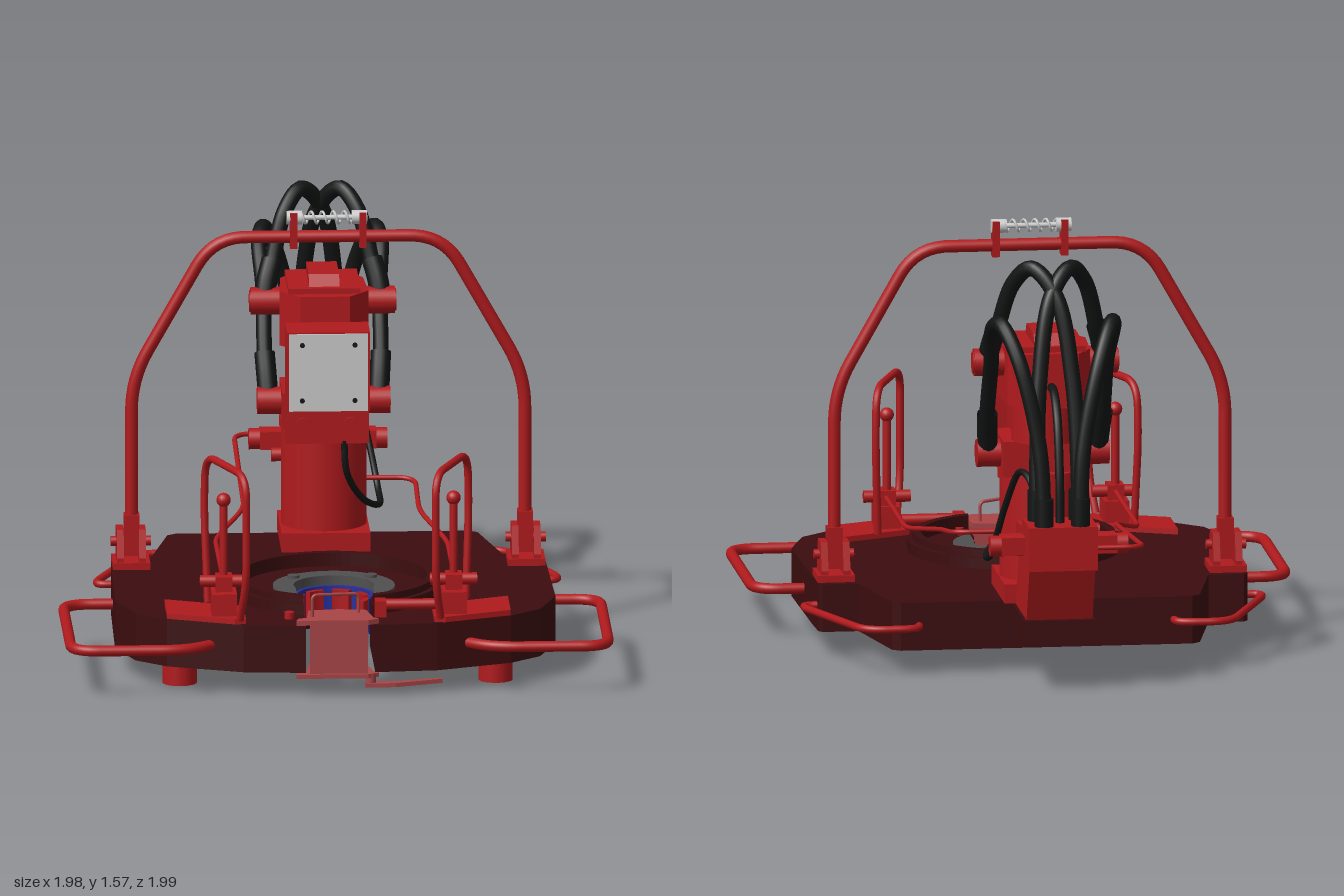
import * as THREE from 'three';

const V = (x, y, z) => new THREE.Vector3(x, y, z);
const mat = (color) => new THREE.MeshStandardMaterial({ color, side: THREE.DoubleSide });

export function createModel() {
  const root = new THREE.Group();
  const red = mat(0xb01a1d), dark = mat(0x3c0d0f), black = mat(0x131514), steel = mat(0x505050);
  const silver = mat(0xcccccc), blue = mat(0x26309a), rose = mat(0xa84546);

  const add = (name, geo, m = red, x = 0, y = 0, z = 0) => {
    const mesh = new THREE.Mesh(geo, m);
    mesh.name = name;
    mesh.position.set(x, y, z);
    root.add(mesh);
    return mesh;
  };
  // Box given by its limits on each axis
  const box = (name, x0, x1, y0, y1, z0, z1, m = red) =>
    add(name, new THREE.BoxGeometry(x1 - x0, y1 - y0, z1 - z0), m, (x0 + x1) / 2, (y0 + y1) / 2, (z0 + z1) / 2);
  const cyl = (name, r, y0, y1, x, z, m = red, r2 = r) =>
    add(name, new THREE.CylinderGeometry(r2, r, y1 - y0, 32), m, x, (y0 + y1) / 2, z);
  const rodX = (name, r, x0, x1, y, z, m = red) =>
    add(name, new THREE.CylinderGeometry(r, r, Math.abs(x1 - x0), 24).rotateZ(Math.PI / 2), m, (x0 + x1) / 2, y, z);
  const discZ = (name, r, x, y, z, m) =>
    add(name, new THREE.CylinderGeometry(r, r, 0.012, 16).rotateX(Math.PI / 2), m, x, y, z);
  // Flat slab from an outline in x and z
  const slab = (name, shape, y0, y1, m = red, z = 0) =>
    add(name, new THREE.ExtrudeGeometry(shape, { depth: y1 - y0, bevelEnabled: false, curveSegments: 40 })
      .rotateX(Math.PI / 2), m, 0, y1, z);
  const outline = (pts) => new THREE.Shape(pts.map(p => new THREE.Vector2(...p)));
  // Side profile in z and y, extruded across x
  const prism = (name, pts, x0, x1, m = red) =>
    add(name, new THREE.ExtrudeGeometry(outline(pts), { depth: x1 - x0, bevelEnabled: false })
      .rotateY(-Math.PI / 2), m, x1);
  // Bent bar: straight runs joined by rounded corners
  const bar = (name, pts, r, bend = 0.08, m = red) => {
    const p = pts.map(q => V(...q)), path = new THREE.CurvePath();
    let from = p[0];
    for (let i = 1; i < p.length - 1; i++) {
      const cut = (q) => p[i].clone().add(q.clone().sub(p[i]).setLength(Math.min(bend, p[i].distanceTo(q) * 0.48)));
      const a = cut(p[i - 1]), b = cut(p[i + 1]);
      path.add(new THREE.LineCurve3(from, a));
      path.add(new THREE.QuadraticBezierCurve3(a, p[i], b));
      from = b;
    }
    path.add(new THREE.LineCurve3(from, p[p.length - 1]));
    return add(name, new THREE.TubeGeometry(path, 110, r, 12), m);
  };
  const hose = (name, pts, r, m = black) =>
    add(name, new THREE.TubeGeometry(new THREE.CatmullRomCurve3(pts.map(q => V(...q))), 80, r, 12), m);
  // Ring with a slot open to the front
  const cRing = (R, r, w) => {
    const s = new THREE.Shape(), h = Math.PI / 2, a = Math.asin(w / R), b = Math.asin(Math.min(1, w / r));
    s.absarc(0, 0, R, h - a, h + a, true);
    s.absarc(0, 0, r, h + b, h - b, false);
    return s;
  };

  // Base plate with its pipe slot
  const zc = 0.42, w = 0.125;
  const half = [[w, 0.955], [0.35, 0.935], [0.62, 0.83], [0.73, 0.73], [0.795, 0.53], [0.785, 0],
    [0.78, -0.12], [0.765, -0.14], [0.635, -0.14], [0.56, -0.49], [0.53, -0.515]];
  const base = outline([...half, ...half.slice().reverse().map(([x, z]) => [-x, z])]);
  const b = Math.asin(w / 0.18);
  base.absarc(0, zc, 0.18, Math.PI / 2 + b, Math.PI / 2 - b, false);
  slab('basePlate', base, 0.085, 0.26, dark);
  box('rearPlate', -0.13, 0.13, 0.175, 0.26, -0.9, -0.5, dark);

  // Turntable rings and pipe jaws
  slab('outerRing', cRing(0.385, 0.335, w), 0.26, 0.3, dark, zc);
  slab('ringLip', cRing(0.365, 0.335, w), 0.3, 0.325, dark, zc);
  slab('turntableFloor', cRing(0.335, 0.2, w), 0.26, 0.275, dark, zc);
  slab('jawCarrier', cRing(0.22, 0.145, 0.14), 0.2, 0.285, steel, zc);
  slab('jawHousing', cRing(0.15, 0.13, 0.122), 0.12, 0.25, blue, zc);
  for (let i = 0; i < 5; i++) {
    const a = Math.PI * (0.96 + i * 0.27), s = new THREE.Shape();
    s.absarc(0, 0, 0.132, a, a + 0.55, false);
    s.absarc(0, 0, 0.11, a + 0.55, a, true);
    slab('jawPad', s, 0.13, 0.24, red, zc);
  }

  for (const s of [-1, 1]) {
    const m = (pts) => pts.map(([x, y, z]) => [x * s, y, z]);
    const span = (a, c) => s > 0 ? [a, c] : [-c, -a];
    cyl('foot', 0.062, 0, 0.09, 0.57 * s, 0.72);
    cyl('jawPin', 0.022, 0.28, 0.295, 0.14 * s, 0.3, steel);
    for (const z of [0.62, 0.68, 0.74]) cyl('plateBolt', 0.015, 0.26, 0.29, 0.165 * s, z);

    // Carrying handles around the plate
    bar('frontHandle', m([[0.7, 0.175, 0.22], [0.97, 0.175, 0.22], [0.97, 0.175, 0.96], [0.55, 0.175, 0.96], [0.42, 0.175, 0.84]]), 0.02, 0.1);
    bar('rearHandle', m([[0.74, 0.175, -0.09], [0.85, 0.175, -0.09], [0.665, 0.175, -0.57], [0.47, 0.175, -0.57], [0.46, 0.175, -0.49]]), 0.014, 0.08);

    // Pivot brackets for the lifting hoop
    for (const x of [0.66, 0.74]) {
      prism('hoopBracket', [[0.04, 0.26], [0.04, 0.3], [0.01, 0.4], [-0.07, 0.4], [-0.1, 0.3], [-0.1, 0.26]], ...span(x, x + 0.025));
    }
    box('bracketBase', ...span(0.645, 0.78), 0.26, 0.285, -0.11, 0.05);
    box('hoopFoot', ...span(0.682, 0.738), 0.3, 0.45, -0.06, 0);
    rodX('bracketPin', 0.018, 0.64 * s, 0.785 * s, 0.35, -0.03);

    // Control station: plate, valve, lever and guard
    slab('valvePlate', outline([[0.62, 0.6], [0.34, 0.72], [0.34, 0.92], [0.38, 0.925], [0.62, 0.825]].map(([x, z]) => [x * s, z])), 0.26, 0.28);
    box('valveBody', ...span(0.37, 0.46), 0.28, 0.36, 0.74, 0.88);
    box('valveTop', ...span(0.385, 0.445), 0.36, 0.415, 0.76, 0.84);
    rodX('valvePort', 0.022, 0.33 * s, 0.5 * s, 0.39, 0.79);
    cyl('controlLever', 0.015, 0.4, 0.68, 0.415 * s, 0.79);
    add('leverKnob', new THREE.SphereGeometry(0.026, 16, 12), red, 0.415 * s, 0.69, 0.79);
    const guard = [[0.93, 0.28], [0.985, 0.42], [0.985, 0.82], [0.63, 0.82], [0.618, 0.62], [0.65, 0.28]];
    bar('leverGuard', m(guard.map(([z, y]) => [0.34 + (0.99 - z) * 0.37, y, z])), 0.014, 0.09);

    // Motor ports
    rodX('upperPort', 0.05, 0.1 * s, 0.26 * s, 1.13, -0.47);
    rodX('upperPortCollar', 0.04, 0.24 * s, 0.265 * s, 1.13, -0.47);
    rodX('lowerPort', 0.05, 0.1 * s, 0.24 * s, 0.78, -0.39);
    rodX('manifoldPort', 0.038, 0.1 * s, 0.25 * s, 0.53, -0.85);
    box('manifoldBlock', ...span(0.1, 0.21), 0.5, 0.565, -0.89, -0.8);

    // Main hoses with end sleeves
    hose('crossHose', m([[0.21, 1.12, -0.46], [0.18, 1.26, -0.52], [0.13, 1.44, -0.58], [0.07, 1.505, -0.64], [-0.01, 1.41, -0.71],
      [-0.06, 1.12, -0.78], [-0.075, 0.8, -0.83], [-0.075, 0.57, -0.85]]), 0.029);
    hose('outerHose', m([[0.2, 0.8, -0.4], [0.21, 0.93, -0.46], [0.21, 1.15, -0.58], [0.22, 1.3, -0.7], [0.2, 1.33, -0.79],
      [0.15, 1.22, -0.88], [0.08, 0.9, -0.94], [0.065, 0.57, -0.965]]), 0.028);
    cyl('crossHoseSleeve', 0.037, 0.58, 0.73, -0.075 * s, -0.845, black);
    cyl('outerHoseSleeve', 0.034, 0.58, 0.72, 0.066 * s, -0.96, black);
    hose('upperSleeve', m([[0.21, 1.13, -0.47], [0.2, 1.2, -0.495], [0.18, 1.27, -0.525]]), 0.038, black);
    hose('lowerSleeve', m([[0.2, 0.8, -0.4], [0.205, 0.87, -0.43], [0.21, 0.94, -0.465]]), 0.037, black);

    // Plates holding the spring
    box('springPlate', ...span(0.112, 0.138), 1.43, 1.56, -0.055, -0.005);
  }

  // Lifting hoop and spring
  bar('liftingHoop', [[-0.71, 0.38, -0.03], [-0.71, 0.95, -0.03], [-0.415, 1.47, -0.03], [0.415, 1.47, -0.03], [0.71, 0.95, -0.03], [0.71, 0.38, -0.03]], 0.023, 0.12);
  rodX('springRod', 0.009, -0.15, 0.14, 1.54, -0.03, silver);
  for (const x of [-0.125, 0.11]) rodX('springBush', 0.025, x - 0.025, x + 0.03, 1.54, -0.03, silver);
  const coil = [];
  for (let i = 0; i <= 60; i++) {
    const a = i / 60 * Math.PI * 10;
    coil.push([-0.1 + i / 60 * 0.2, 1.54 + 0.021 * Math.cos(a), -0.03 + 0.021 * Math.sin(a)]);
  }
  hose('spring', coil, 0.005, silver).geometry = new THREE.TubeGeometry(
    new THREE.CatmullRomCurve3(coil.map(q => V(...q))), 200, 0.005, 6);

  // Drive motor
  box('motorFlange', -0.16, 0.16, 0.26, 0.33, -0.57, -0.2);
  cyl('motorBody', 0.155, 0.33, 0.72, 0, -0.385);
  cyl('motorBand', 0.162, 0.69, 0.725, 0, -0.385);
  box('valveBlock', -0.155, 0.155, 0.71, 0.84, -0.5, -0.24);
  cyl('motorNeck', 0.12, 0.84, 1.0, 0, -0.46);
  slab('motorHead', outline([[0.15, -0.57], [0.16, -0.36], [0.09, -0.265], [-0.09, -0.265], [-0.16, -0.36], [-0.15, -0.57], [-0.1, -0.655], [0.1, -0.655]]), 0.99, 1.19);
  box('headCap', -0.13, 0.13, 1.19, 1.21, -0.62, -0.31);
  prism('headCrown', [[-0.34, 1.21], [-0.37, 1.25], [-0.57, 1.25], [-0.6, 1.21]], -0.055, 0.055);

  // Control box with cover plate
  box('controlBox', -0.15, 0.15, 0.83, 1.12, -0.165, 0);
  box('controlBoxBase', -0.15, 0.15, 0.69, 0.83, -0.165, -0.08);
  box('boxSupport', -0.1, 0.1, 0.7, 1.0, -0.3, -0.16);
  box('coverPlate', -0.142, 0.142, 0.83, 1.115, 0, 0.008, silver);
  for (const x of [-0.095, 0.095]) {
    for (const y of [0.87, 1.075]) discZ('coverBolt', 0.009, x, y, 0.007, black);
    discZ('boxGland', 0.028, x * 0.9, 0.76, -0.076, red);
  }

  // Rear hose manifold
  prism('manifoldStand', [[-0.58, 0.26], [-0.66, 0.47], [-0.97, 0.47], [-0.88, 0.26]], -0.12, 0.12);
  prism('manifold', [[-0.62, 0.46], [-0.62, 0.575], [-0.78, 0.585], [-0.8, 0.62], [-0.995, 0.62], [-0.995, 0.46]], -0.125, 0.125);
  rodX('manifoldFitting', 0.025, -0.18, 0.1, 0.53, -0.6);
  add('motorLink', new THREE.CylinderGeometry(0.035, 0.035, 0.14, 20).rotateX(Math.PI / 2), red, 0, 0.52, -0.58);

  // Thin hoses and control pipes
  hose('thinHose', [[0.06, 0.7, -0.09], [0.07, 0.58, -0.1], [0.13, 0.46, -0.2], [0.2, 0.4, -0.36], [0.2, 0.43, -0.5],
    [0.16, 0.63, -0.6], [0.12, 0.77, -0.7], [0.09, 0.74, -0.79], [0.08, 0.57, -0.82]], 0.012);
  hose('returnHose', [[0, 1.07, -0.63], [0, 1.06, -0.73], [0, 0.98, -0.82], [0, 0.8, -0.88], [0, 0.58, -0.9]], 0.016);
  bar('leftPipe', [[0.14, 0.49, -0.39], [0.33, 0.49, -0.385], [0.33, 0.44, -0.08], [0.42, 0.39, 0.2], [0.42, 0.39, 0.76]], 0.009, 0.07);
  bar('rightPipe', [[-0.1, 0.53, -0.93], [-0.3, 0.53, -0.93], [-0.3, 0.45, -0.1], [-0.415, 0.39, 0.12], [-0.415, 0.39, 0.76]], 0.009, 0.07);

  // Slot door with latch and pull
  const lid = outline([[-0.11, 0.8], [0, 0.785], [0.1, 0.8], [0.12, 0.92], [0.14, 0.94], [0.1, 0.965], [-0.16, 0.965], [-0.15, 0.925], [-0.12, 0.92]]);
  slab('doorTop', lid, 0.262, 0.28, rose);
  slab('doorBottom', lid, 0.065, 0.08, rose);
  box('doorFront', -0.11, 0.1, 0.08, 0.265, 0.93, 0.95, rose);
  bar('doorPull', [[-0.1, 0.27, 0.9], [-0.1, 0.36, 0.9], [0.07, 0.35, 0.84], [0.07, 0.27, 0.84]], 0.006, 0.02, rose);
  cyl('latchPivot', 0.018, 0.03, 0.08, 0.11, 0.94, rose);
  slab('latchArm', outline([[0.09, 0.965], [0.2, 0.96], [0.37, 0.9], [0.37, 0.88], [0.2, 0.925], [0.09, 0.93]]), 0.03, 0.045, rose);
  rodX('doorCylinder', 0.02, 0.14, 0.36, 0.3, 0.8);
  box('doorCylinderMount', 0.13, 0.17, 0.26, 0.32, 0.78, 0.84);
  cyl('latchButton', 0.018, 0.26, 0.285, -0.18, 0.84);
  return root;
}
